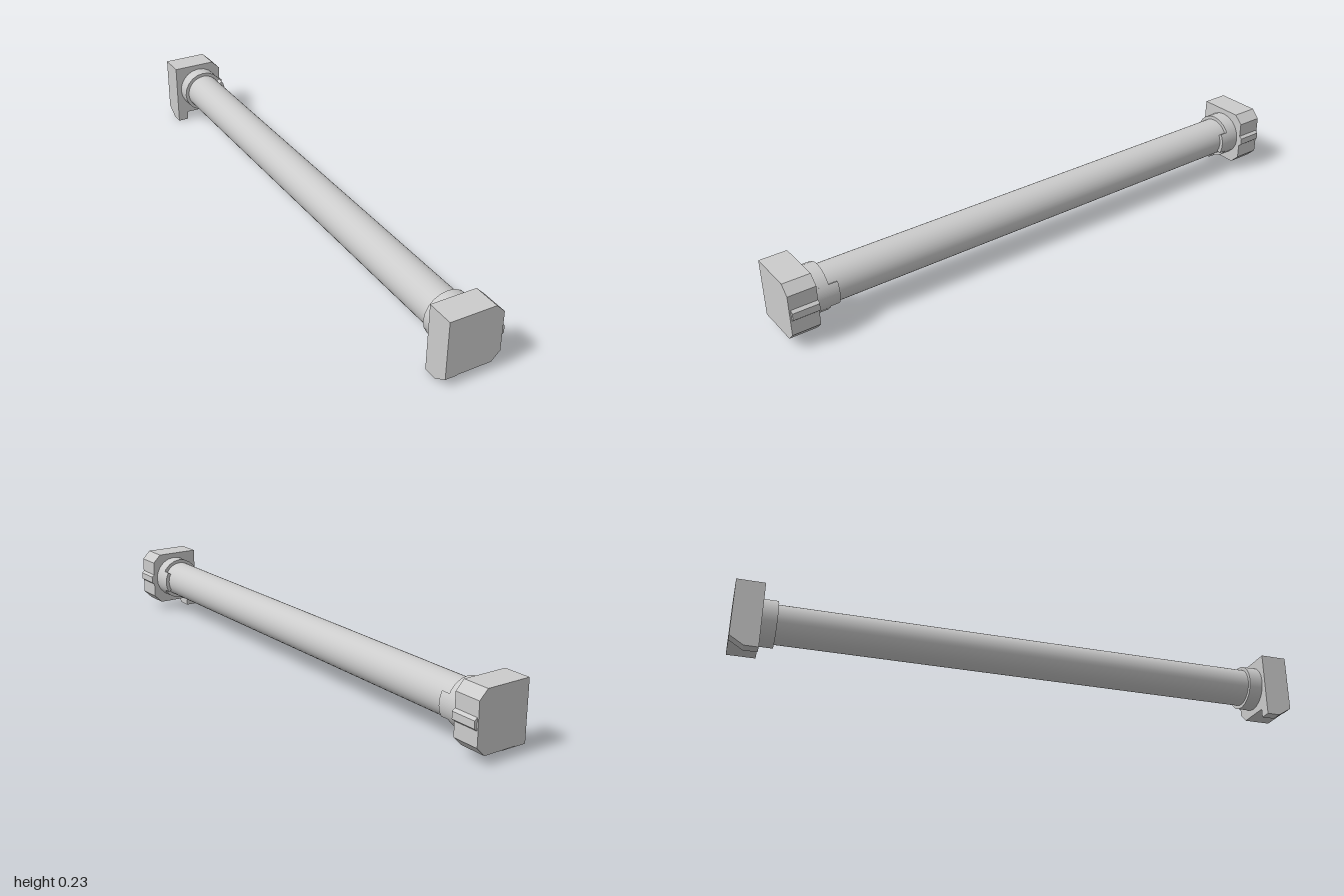
import * as THREE from 'three';

const CX = -0.003, CY = 0.134; // axis of the tube

export function createModel() {
  const root = new THREE.Group();
  const mat = new THREE.MeshStandardMaterial({ color: 0xcccccc });

  const add = (parent, geo, name) => {
    const mesh = new THREE.Mesh(geo, mat);
    mesh.name = name;
    parent.add(mesh);
    return mesh;
  };
  const polygon = pts => new THREE.Shape(pts.map(p => new THREE.Vector2(...p)));
  // Extrude an xy outline between two distances from the centre, on the s side
  const slab = (shape, near, far, s) =>
    new THREE.ExtrudeGeometry(shape, { depth: far - near, bevelEnabled: false, curveSegments: 10 })
      .translate(0, 0, s > 0 ? near : -far);

  // Long round tube
  add(root, new THREE.CylinderGeometry(0.067, 0.067, 1.84, 40).rotateX(Math.PI / 2), 'tube')
    .position.set(CX, CY, 0);

  // Block outline: square on -x, chamfered corners on +x
  const block = polygon([[-0.1, 0.032], [0.06, 0.032], [0.09, 0.062], [0.09, 0.202],
    [0.06, 0.232], [-0.1, 0.232]]);
  const ridge = polygon([[0.08, 0.112], [0.09, 0.112], [0.1, 0.12], [0.1, 0.144],
    [0.09, 0.152], [0.08, 0.152]]);

  // Curved tongue that lies along the +x side of the tube
  const a = Math.PI / 6;
  const tongue = new THREE.Shape();
  tongue.absarc(CX, CY, 0.08, -a, a, false);
  tongue.absarc(CX, CY, 0.064, a, -a, true);
  tongue.closePath();

  for (const s of [1, -1]) {
    const end = new THREE.Group();
    end.name = s > 0 ? 'frontEnd' : 'backEnd';
    root.add(end);

    add(end, slab(block, 0.905, 1, s), 'endBlock');
    add(end, slab(ridge, 0.905, 0.995, s), 'sideRidge');
    add(end, new THREE.CylinderGeometry(0.08, 0.08, 0.06, 20).rotateX(Math.PI / 2), 'collar')
      .position.set(CX, CY, s * 0.885);
    add(end, slab(tongue, 0.825, 0.9, s), 'collarTongue');

    // Foot tab: zy profile with a sloped outer face, extruded across x
    const tab = polygon([[0.905, 0], [0.952, 0], [1, 0.03], [1, 0.04], [0.905, 0.04]]
      .map(([z, y]) => [-s * z, y]));
    add(end, new THREE.ExtrudeGeometry(tab, { depth: 0.04, bevelEnabled: false })
      .rotateY(Math.PI / 2).translate(-0.1, 0, 0), 'footTab');
  }
  return root;
}
